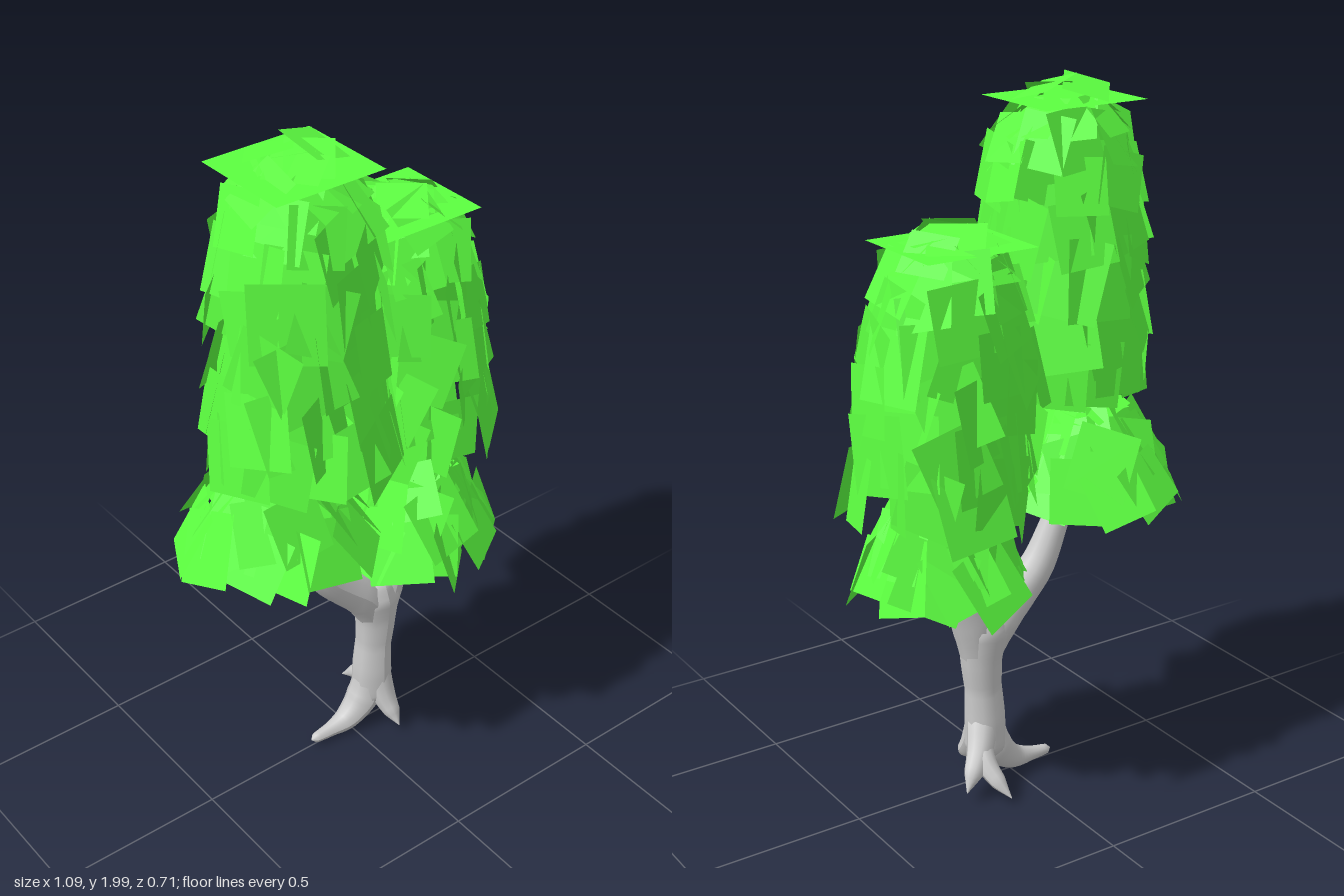
import * as THREE from 'three';
import { mergeGeometries } from 'three/addons/utils/BufferGeometryUtils.js';

const bark = new THREE.MeshStandardMaterial({ color: 0xcccccc });
const leaf = new THREE.MeshStandardMaterial({ color: 0x5cff40, side: THREE.DoubleSide });

// Seeded random number in -1..1
let seed = 7;
const rnd = () => {
  seed = (seed * 16807) % 2147483647;
  return (seed / 2147483647) * 2 - 1;
};

// Tapered limb: each point is [x, y, z, radius]
function limb(name, pts) {
  const curve = new THREE.CatmullRomCurve3(pts.map(p => new THREE.Vector3(p[0], p[1], p[2])));
  const n = pts.length * 4, sides = 10;
  const geo = new THREE.TubeGeometry(curve, n, 1, sides);
  const pos = geo.attributes.position, v = new THREE.Vector3();
  for (let i = 0; i <= n; i++) {
    const t = curve.getUtoTmapping(i / n), c = curve.getPoint(t);
    const f = t * (pts.length - 1), k = Math.min(Math.floor(f), pts.length - 2);
    const r = THREE.MathUtils.lerp(pts[k][3], pts[k + 1][3], f - k);
    for (let j = 0; j <= sides; j++) {
      const id = i * (sides + 1) + j;
      v.fromBufferAttribute(pos, id).sub(c).multiplyScalar(r).add(c);
      pos.setXYZ(id, v.x, Math.max(v.y, 0), v.z);
    }
  }
  geo.computeVertexNormals();
  const mesh = new THREE.Mesh(geo, bark);
  mesh.name = name;
  return mesh;
}

// Rings of overlapping leaf cards; each row is [y, radius, tilt, width, height, count]
function foliage(name, rows, centreAt, top) {
  const cards = [];
  rows.forEach(([y, r, tilt, w, h, count], row) => {
    for (let i = 0; i < count; i++) {
      const s = 1 + 0.12 * rnd(), twisted = i % 4 === 0;
      const g = new THREE.PlaneGeometry(w * s, h * s);
      g.rotateZ(rnd() * 0.4);
      g.rotateY(rnd() * (twisted ? 0.8 : 0.25));
      g.rotateX(-tilt + rnd() * 0.13);
      g.translate(0, y + rnd() * 0.02, r + rnd() * 0.01 - (twisted ? 0.02 : 0));
      g.rotateY(((i + (row % 2) / 2 + rnd() * 0.2) / count) * Math.PI * 2);
      const [x, z] = centreAt(y);
      g.translate(x, 0, z);
      cards.push(g);
    }
  });
  // Flat cap card
  const [y, w, d] = top, [x, z] = centreAt(y);
  cards.push(new THREE.PlaneGeometry(w, d).rotateX(-Math.PI / 2).translate(x, y, z));
  const mesh = new THREE.Mesh(mergeGeometries(cards), leaf);
  mesh.name = name;
  return mesh;
}

// Tall domed crown between two heights, leaning from its base centre to its top centre
function crown(name, y0, y1, base, tip) {
  const H = y1 - y0;
  const rows = [
    [0.14, 0.225, 0.14, 0.18, 0.2, 13], [0.28, 0.217, 0.16, 0.18, 0.2, 13],
    [0.43, 0.208, 0.16, 0.18, 0.2, 12], [0.58, 0.196, 0.18, 0.17, 0.19, 12],
    [0.71, 0.18, 0.25, 0.16, 0.17, 11], [0.81, 0.155, 0.45, 0.15, 0.15, 10],
    [0.89, 0.115, 0.85, 0.13, 0.13, 9], [0.945, 0.06, 1.3, 0.13, 0.12, 6],
  ].map(([t, ...rest]) => [y0 + t * H, ...rest]);
  const centreAt = y => {
    const t = (y - y0) / H;
    return [base[0] + (tip[0] - base[0]) * t, base[1] + (tip[1] - base[1]) * t];
  };
  return foliage(name, rows, centreAt, [y1 - 0.065, 0.32, 0.3]);
}

// Flared lower tier
function skirt(name, y0, y1, x, z, rTop, rBottom) {
  const H = y1 - y0, at = t => rBottom + (rTop - rBottom) * t;
  const tilt = Math.atan2(rBottom - rTop, H);
  return foliage(name, [
    [y0 + 0.3 * H, at(0.3), tilt, 0.18, 0.18, 13],
    [y0 + 0.55 * H, at(0.55), tilt, 0.16, 0.18, 12],
    [y0 + 0.78 * H, at(0.8), tilt + 0.1, 0.13, 0.14, 10],
    [y0 + 0.9 * H, at(1) * 0.6, 1.1, 0.12, 0.11, 7],
  ], () => [x, z], [y1 - 0.04, 0.18, 0.18]);
}

export function createModel() {
  seed = 7;
  const tree = new THREE.Group();
  tree.name = 'tree';

  // Trunk and forked branches
  tree.add(
    limb('trunk', [[0.09, 0.06, 0, 0.015], [0.085, 0.11, 0, 0.06], [0.085, 0.2, 0, 0.06],
      [0.09, 0.3, 0, 0.054], [0.095, 0.4, 0, 0.062], [0.09, 0.48, 0, 0.075],
      [0.085, 0.54, 0, 0.06], [0.085, 0.575, 0, 0.01]]),
    limb('rightBranch', [[0.09, 0.4, 0, 0.05], [0.045, 0.495, 0, 0.066], [-0.03, 0.565, 0, 0.056],
      [-0.09, 0.625, 0, 0.05], [-0.135, 0.71, 0, 0.043], [-0.175, 0.82, 0, 0.035],
      [-0.185, 1.0, 0.02, 0.026], [-0.19, 1.3, 0.04, 0.012]]),
    limb('leftBranch', [[0.1, 0.4, 0, 0.055], [0.12, 0.5, 0, 0.063], [0.155, 0.59, 0, 0.056],
      [0.19, 0.67, 0, 0.045], [0.225, 0.8, 0, 0.032], [0.24, 0.97, -0.03, 0.023], [0.25, 1.25, -0.07, 0.01]]),
  );

  // Roots
  const roots = new THREE.Group();
  roots.name = 'roots';
  [
    [[0.08, 0.2, 0, 0.045], [0.05, 0.1, 0, 0.05], [-0.01, 0.045, 0, 0.036], [-0.07, 0.033, 0, 0.022],
      [-0.13, 0.03, 0, 0.014], [-0.142, 0.03, 0, 0.001]],
    [[0.09, 0.19, 0.01, 0.045], [0.095, 0.11, 0.045, 0.036], [0.1, 0.065, 0.08, 0.025], [0.1, 0.035, 0.115, 0.001]],
    [[0.1, 0.19, -0.01, 0.045], [0.135, 0.13, -0.05, 0.038], [0.18, 0.085, -0.085, 0.027], [0.213, 0.045, -0.105, 0.001]],
    [[0.12, 0.15, -0.03, 0.035], [0.135, 0.11, -0.075, 0.032], [0.125, 0.065, -0.13, 0.023], [0.11, 0.03, -0.175, 0.001]],
  ].forEach(p => roots.add(limb('root', p)));
  tree.add(roots);

  // Foliage tiers
  tree.add(
    crown('rightCrown', 1.09, 1.99, [-0.22, 0.085], [-0.185, 0.02]),
    crown('leftCrown', 0.91, 1.69, [0.285, -0.1], [0.25, -0.12]),
    skirt('rightSkirt', 0.79, 1.12, -0.24, -0.01, 0.085, 0.285),
    skirt('leftSkirt', 0.63, 0.93, 0.22, 0.01, 0.1, 0.23),
  );
  return tree;
}
